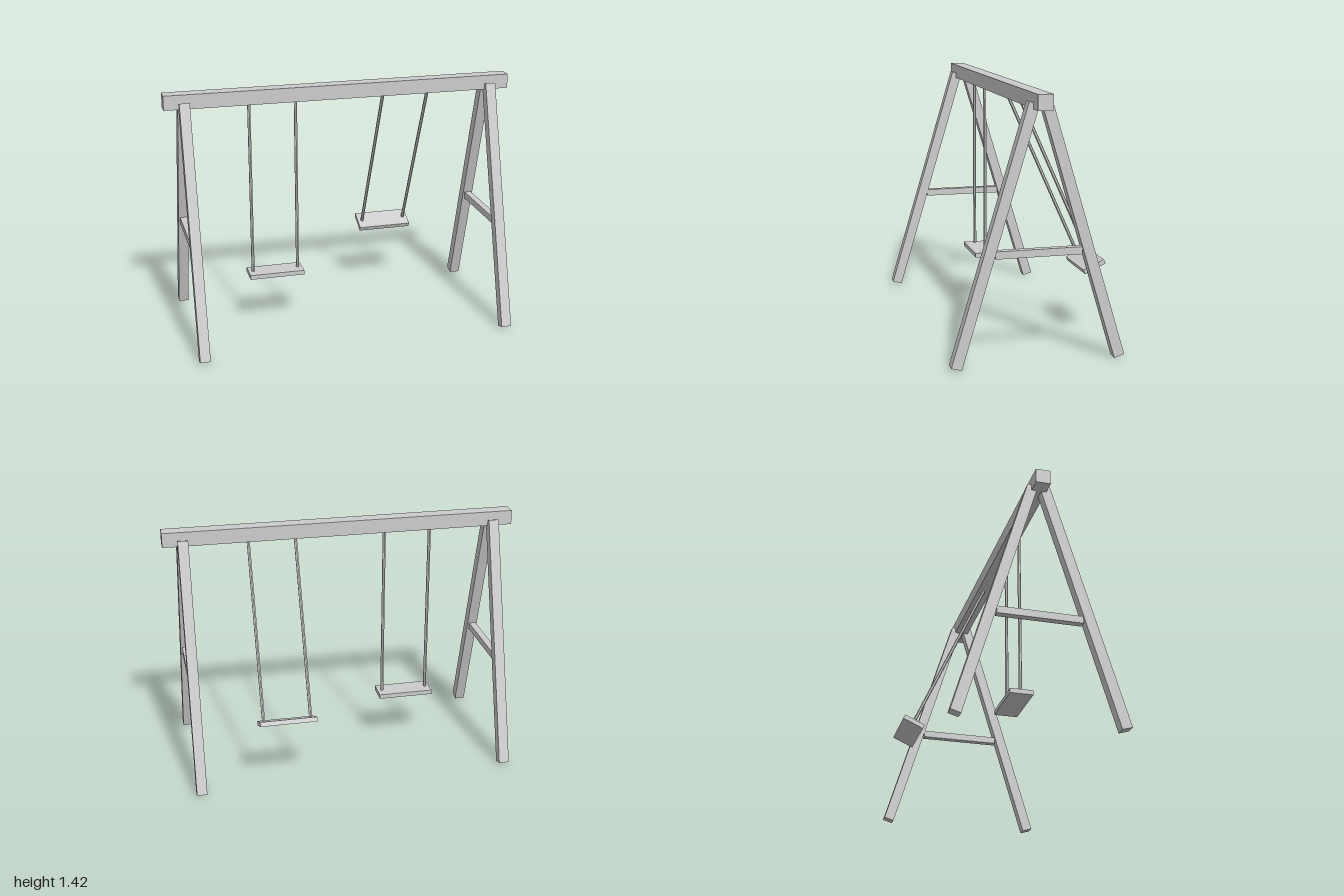
import * as THREE from 'three';

const MID_Z = 0.008; // depth of the beam's centre line

export function createModel() {
  const model = new THREE.Group();
  model.name = 'swingSet';
  const grey = new THREE.MeshStandardMaterial({ color: 0xcccccc });
  grey.name = 'plain grey';

  function add(parent, name, geometry, x, y, z) {
    const mesh = new THREE.Mesh(geometry, grey);
    mesh.name = name;
    mesh.position.set(x, y, z);
    parent.add(mesh);
    return mesh;
  }

  // Top beam
  add(model, 'topBeam', new THREE.BoxGeometry(2, 0.082, 0.082), 0, 1.382, MID_Z);

  // A-frames: two leaning legs and a crossbar at each end
  const foot = new THREE.Vector2(0.443, 0.0085);
  const head = new THREE.Vector2(0.034, 1.372);
  const legLength = foot.distanceTo(head);
  const lean = Math.atan2(foot.x - head.x, head.y - foot.y);
  const legGeometry = new THREE.BoxGeometry(0.058, legLength, 0.058);
  for (const side of [1, -1]) {
    const frame = new THREE.Group();
    frame.name = side > 0 ? 'leftFrame' : 'rightFrame';
    frame.position.set(side * 0.887, 0, MID_Z);
    for (const dir of [1, -1]) {
      const leg = add(frame, dir > 0 ? 'frontLeg' : 'backLeg', legGeometry,
        0, (foot.y + head.y) / 2, dir * (foot.x + head.x) / 2);
      leg.rotation.x = -dir * lean;
    }
    add(frame, 'crossbar', new THREE.BoxGeometry(0.04, 0.04, 0.466), 0, 0.596, 0);
    model.add(frame);
  }

  // Swings hang from a pivot inside the beam and turn as one piece
  const drop = 1.034;
  const ropeLength = drop - 0.012;
  const ropeGeometry = new THREE.CylinderGeometry(0.0094, 0.0094, ropeLength, 6);
  ropeGeometry.deleteAttribute('normal');
  const facetedRope = ropeGeometry.toNonIndexed();
  facetedRope.computeVertexNormals();
  function addSwing(name, x, angle) {
    const swing = new THREE.Group();
    swing.name = name;
    swing.position.set(x, 1.35, MID_Z);
    swing.rotation.x = angle;
    for (const side of [1, -1]) {
      add(swing, side > 0 ? 'leftRope' : 'rightRope', facetedRope, side * 0.133, -ropeLength / 2, 0);
    }
    add(swing, 'seat', new THREE.BoxGeometry(0.32, 0.026, 0.13), 0, -drop, 0);
    model.add(swing);
  }
  addSwing('restingSwing', -0.39, 0);
  addSwing('movingSwing', 0.39, THREE.MathUtils.degToRad(24.3));

  return model;
}
